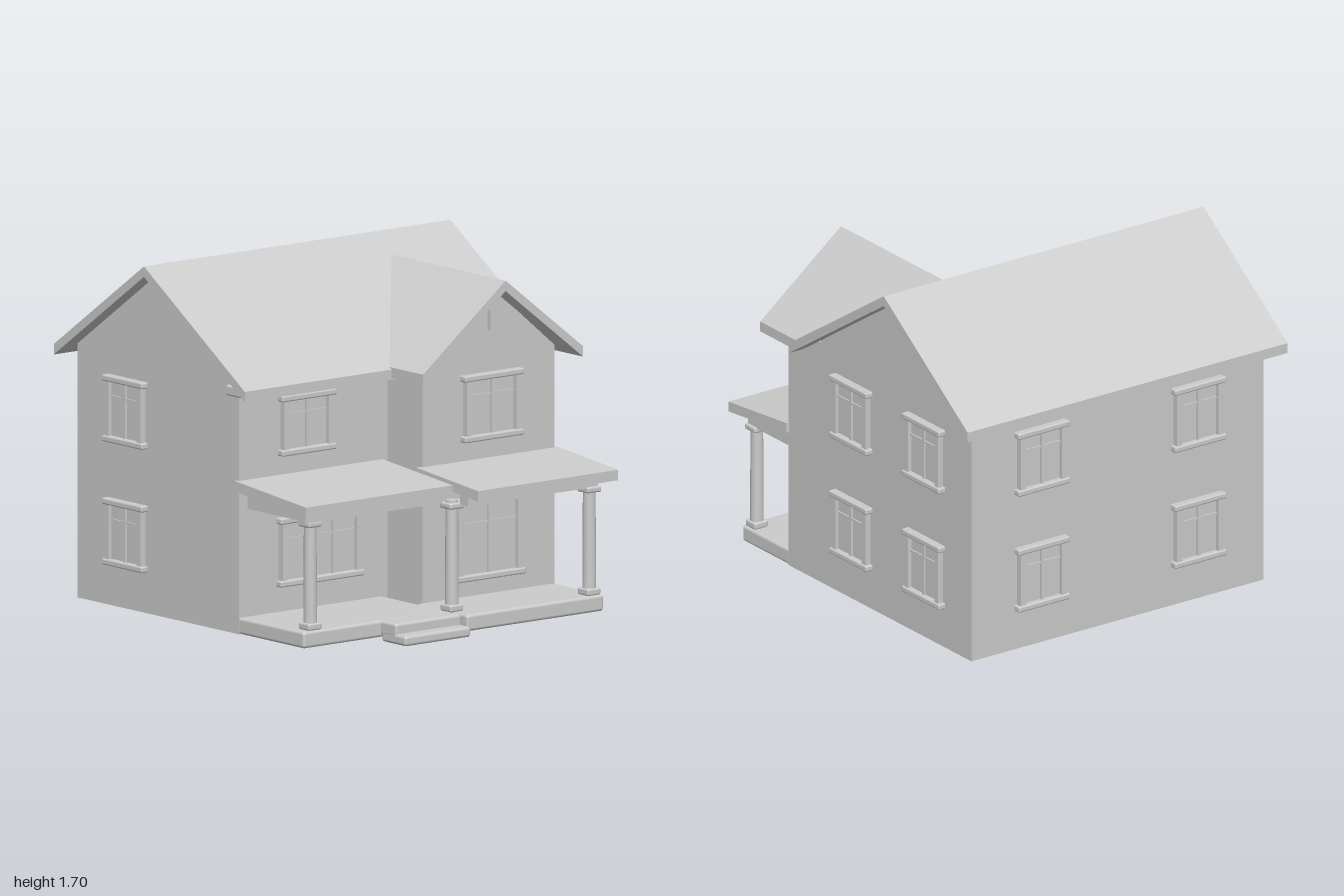
import * as THREE from 'three';
import { RoundedBoxGeometry } from 'three/addons/geometries/RoundedBoxGeometry.js';

const material = new THREE.MeshStandardMaterial({ color: 0xcccccc });

function add(parent, name, geometry, x = 0, y = 0, z = 0) {
  const mesh = new THREE.Mesh(geometry, material);
  mesh.name = name;
  mesh.position.set(x, y, z);
  parent.add(mesh);
  return mesh;
}

// Box given by its low and high corners
function block(parent, name, [x0, y0, z0], [x1, y1, z1], radius = 0) {
  const size = [x1 - x0, y1 - y0, z1 - z0];
  const geometry = radius ? new RoundedBoxGeometry(...size, 2, radius) : new THREE.BoxGeometry(...size);
  return add(parent, name, geometry, (x0 + x1) / 2, (y0 + y1) / 2, (z0 + z1) / 2);
}

// Profile in (u, y) drawn out from 'from' to 'to'
function prism(points, from, to) {
  const shape = new THREE.Shape(points.map(([u, y]) => new THREE.Vector2(u, y)));
  const geometry = new THREE.ExtrudeGeometry(shape, { depth: to - from, bevelEnabled: false });
  return geometry.translate(0, 0, from);
}

// Bent roof profile with an even vertical thickness
function chevron([ax, ay], [bx, by], [cx, cy], t) {
  return [[ax, ay], [ax, ay - t], [bx, by - t], [cx, cy - t], [cx, cy], [bx, by]];
}

// Framed window facing +z, with panes split by vertical and horizontal bars
function createWindow(w, h, panes) {
  const g = new THREE.Group();
  g.name = 'window';
  const b = 0.03;
  add(g, 'glass', new THREE.BoxGeometry(w, h, 0.01));
  for (const s of [-1, 1]) {
    add(g, 'frameSide', new THREE.BoxGeometry(b, h, 0.05), s * (w - b) / 2, 0, 0);
    const rail = new RoundedBoxGeometry(w + 0.03, b, 0.065, 2, 0.008);
    add(g, s > 0 ? 'frameHead' : 'windowSill', rail, 0, s * (h - b) / 2, 0);
  }
  for (let i = 1; i < panes; i++) {
    add(g, 'verticalBar', new THREE.BoxGeometry(0.015, h, 0.03), (i / panes - 0.5) * w, 0, 0);
  }
  add(g, 'crossBar', new THREE.BoxGeometry(w, 0.012, 0.024), 0, h * 0.18, 0);
  return g;
}

// Round porch post with square foot and cap
function createPost(parent, x, z) {
  const g = new THREE.Group();
  g.name = 'porchPost';
  add(g, 'shaft', new THREE.CylinderGeometry(0.03, 0.033, 0.54, 16), 0, 0.36, 0);
  add(g, 'foot', new RoundedBoxGeometry(0.08, 0.035, 0.08, 2, 0.01), 0, 0.115, 0);
  add(g, 'cap', new RoundedBoxGeometry(0.085, 0.03, 0.085, 2, 0.01), 0, 0.605, 0);
  g.position.set(x, 0, z);
  parent.add(g);
}

export function createModel() {
  const house = new THREE.Group();
  house.name = 'house';

  // Main body with gables facing front and back
  const body = [[-0.92, 0.02], [0.28, 0.02], [0.28, 1.25], [-0.33, 1.66], [-0.92, 1.24]];
  add(house, 'mainWalls', prism(body, -0.85, 0.85));
  const roof = chevron([-1, 1.23], [-0.33, 1.7], [0.42, 1.21], 0.05);
  add(house, 'mainRoof', prism(roof, -0.93, 0.93));

  // Side wing, its gable facing +x
  const wing = [[0.05, 0.02], [0.85, 0.02], [0.85, 1.24], [0.46, 1.57], [0.05, 1.24]];
  add(house, 'wingWalls', prism(wing, 0.2, 0.54)).rotation.y = Math.PI / 2;

  // Wing roof, its inner end cut to the slope of the main roof
  const wingRoof = prism(chevron([-0.04, 1.22], [0.46, 1.61], [0.93, 1.24], 0.05), 0, 0.655);
  const p = wingRoof.attributes.position;
  for (let i = 0; i < p.count; i++) {
    if (p.getZ(i) < 0.3) p.setZ(i, Math.min(0.4, -0.36 + (1.7 - p.getY(i)) / 0.655));
  }
  wingRoof.computeVertexNormals();
  add(house, 'wingRoof', wingRoof).rotation.y = Math.PI / 2;
  block(house, 'gableStrut', [0.53, 1.36, -0.475], [0.56, 1.57, -0.445]);

  // Eave returns at the front and back corners
  block(house, 'eaveReturn', [0.26, 1.17, 0.82], [0.41, 1.22, 0.92], 0.01);

  // Windows: [x, y, z, turn, width, height, panes]
  const q = Math.PI / 2;
  const windows = [
    [0.285, 0.99, 0.45, q, 0.3, 0.29, 2],
    [0.285, 0.385, 0.37, q, 0.48, 0.33, 3],
    [0.545, 1.0, -0.46, q, 0.33, 0.32, 2],
    [0.545, 0.375, -0.44, q, 0.39, 0.4, 2],
  ];
  for (const y of [0.965, 0.375]) {
    windows.push([-0.55, y, 0.855, 0, 0.27, 0.32, 2]);
    for (const x of [-0.56, 0.02]) windows.push([x, y, -0.855, Math.PI, 0.27, 0.32, 2]);
    for (const z of [-0.45, 0.46]) windows.push([-0.925, y, z, -q, 0.27, 0.32, 2]);
  }
  for (const [x, y, z, turn, w, h, panes] of windows) {
    const win = createWindow(w, h, panes);
    win.position.set(x, y, z);
    win.rotation.y = turn;
    house.add(win);
  }

  // Porch in two sections: wall x, floor edge, beam x, roof edge, z range
  const sections = [
    { wall: 0.27, edge: 0.76, beam: 0.72, eave: 0.8, top: 0.755, z0: -0.02, z1: 0.85 },
    { wall: 0.53, edge: 0.91, beam: 0.86, eave: 0.99, top: 0.75, z0: -0.85, z1: -0.02 },
  ];
  for (const { wall, edge, beam, eave, top, z0, z1 } of sections) {
    block(house, 'porchFloor', [wall, 0.02, z0], [edge, 0.1, z1], 0.015);
    const slab = [[wall, top - 0.05], [eave, 0.655], [eave, 0.705], [wall, top]];
    add(house, 'porchRoof', prism(slab, z0 - (z0 < -0.5 ? 0.02 : 0), z1 + (z1 > 0.5 ? 0.02 : 0)));
    block(house, 'porchBeam', [beam - 0.03, 0.615, z0 + 0.02], [beam + 0.03, 0.68, z1 - 0.02]);
    const end = z1 > 0.5 ? z1 - 0.08 : z0 + 0.05;
    block(house, 'endBeam', [wall, 0.615, end - 0.03], [beam, 0.68, end + 0.03]);
  }
  createPost(house, 0.71, 0.77);
  createPost(house, 0.77, -0.04);
  createPost(house, 0.86, -0.8);

  // Entry steps
  block(house, 'upperStep', [0.74, 0.03, -0.02], [0.87, 0.1, 0.38], 0.015);
  block(house, 'lowerStep', [0.76, 0, -0.02], [0.94, 0.05, 0.38], 0.015);

  return house;
}
